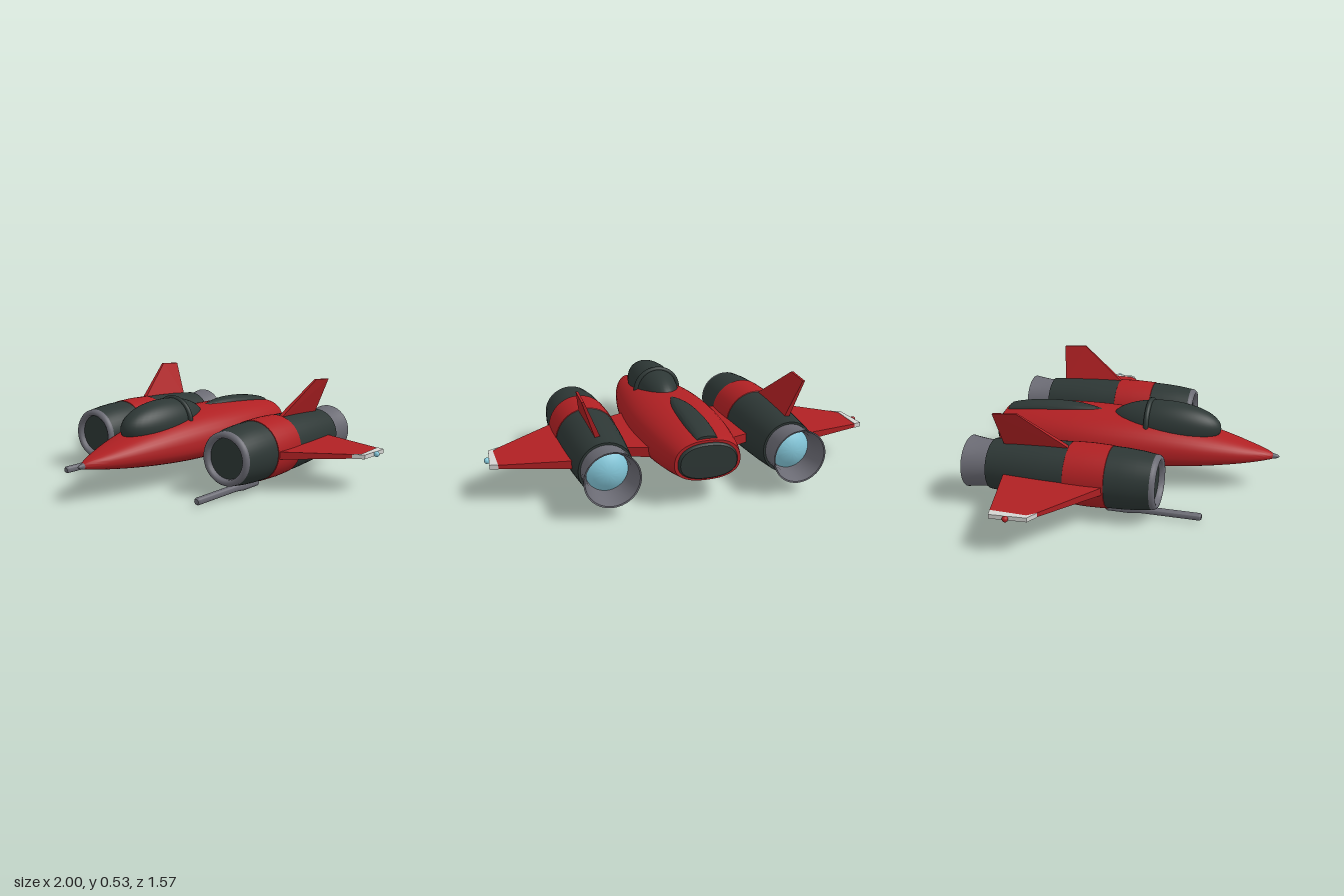
import * as THREE from 'three';
import { toCreasedNormals } from 'three/addons/utils/BufferGeometryUtils.js';
import { ConvexGeometry } from 'three/addons/geometries/ConvexGeometry.js';

const mat = (name, color) => Object.assign(new THREE.MeshStandardMaterial({ color }), { name });

export function createModel() {
  const red = mat('hull red', 0xb02023);
  const dark = mat('dark panel', 0x2d3735);
  const grey = mat('metal grey', 0x6a6a73);
  const white = mat('wing tip white', 0xd5d5d2);
  const cyan = mat('glow blue', 0x88cde0);

  const model = new THREE.Group();
  model.name = 'starfighter';
  const add = (parent, name, geometry, material, x = 0, y = 0, z = 0) => {
    const mesh = new THREE.Mesh(geometry, material);
    mesh.name = name;
    mesh.position.set(x, y, z);
    parent.add(mesh);
    return mesh;
  };

  // Lathe around z; profile is [z, radius], listed from back to front for outward faces
  const spin = (profile, crease = 0.6) => {
    const g = new THREE.LatheGeometry(profile.map(([z, r]) => new THREE.Vector2(r, z)), 40);
    return toCreasedNormals(g.rotateX(Math.PI / 2), crease);
  };

  // Loft of superellipse sections [z, halfWidth, top, middle, bottom], nose to tail, with end caps
  const loft = (keys, steps, power) => {
    const n = 40, pos = [], idx = [];
    const curve = (k) => new THREE.CatmullRomCurve3(keys.map((s) => new THREE.Vector3(s[0], s[k], s[k + 1])));
    const a = curve(1), b = curve(3);
    const bottoms = keys.map((s) => s[4]);
    const bc = new THREE.SplineCurve(bottoms.map((v, i) => new THREE.Vector2(keys[i][0], v)));
    const mc = new THREE.SplineCurve(keys.map((s) => new THREE.Vector2(s[0], s[3])));
    const shape = (v) => Math.sign(v) * Math.pow(Math.abs(v), power);
    for (let i = 0; i <= steps; i++) {
      const t = i / steps, p = a.getPoint(t), mid = mc.getPoint(t).y, low = bc.getPoint(t).y;
      const z = mc.getPoint(t).x;
      for (let j = 0; j < n; j++) {
        const ang = (j / n) * Math.PI * 2, s = shape(Math.sin(ang));
        pos.push(p.y * shape(Math.cos(ang)), mid + s * (s > 0 ? p.z - mid : mid - low), z);
      }
    }
    for (let i = 0; i < steps; i++) for (let j = 0; j < n; j++) {
      const k = (j + 1) % n, q = i * n, r = q + n;
      idx.push(q + j, r + j, q + k, q + k, r + j, r + k);
    }
    for (let j = 1; j < n - 1; j++) {
      const e = steps * n;
      idx.push(0, j, j + 1, e, e + j + 1, e + j);
    }
    const g = new THREE.BufferGeometry();
    g.setAttribute('position', new THREE.Float32BufferAttribute(pos, 3));
    g.setIndex(idx);
    return toCreasedNormals(g, 0.7);
  };

  // Flat panel from plan points [x, z, halfThickness]
  const panel = (points, y) => new ConvexGeometry(points.flatMap(([x, z, h]) =>
    [new THREE.Vector3(x, y + h, z), new THREE.Vector3(x, y - h, z)]));

  // Fuselage
  add(model, 'fuselage', loft([
    [0.745, 0.014, 0.204, 0.19, 0.176],
    [0.6, 0.088, 0.25, 0.195, 0.15],
    [0.4, 0.153, 0.3, 0.2, 0.125],
    [0.2, 0.195, 0.337, 0.2, 0.108],
    [0, 0.222, 0.359, 0.2, 0.1],
    [-0.2, 0.235, 0.367, 0.2, 0.1],
    [-0.4, 0.227, 0.365, 0.203, 0.102],
    [-0.6, 0.202, 0.352, 0.21, 0.112],
    [-0.76, 0.165, 0.33, 0.22, 0.13],
  ], 40, 0.85), red);
  add(model, 'tailPanel', loft([
    [-0.74, 0.148, 0.318, 0.22, 0.14],
    [-0.765, 0.148, 0.318, 0.22, 0.14],
    [-0.776, 0.14, 0.31, 0.22, 0.147],
  ], 4, 0.85), dark);
  add(model, 'noseTip', spin([[0.725, 0], [0.725, 0.019], [0.75, 0.014], [0.77, 0.009], [0.78, 0]]), grey, 0, 0.19);

  // Dark dorsal spine
  add(model, 'dorsalSpine', loft([
    [-0.2, 0.008, 0.365, 0.34, 0.3],
    [-0.3, 0.042, 0.381, 0.34, 0.3],
    [-0.42, 0.058, 0.387, 0.34, 0.3],
    [-0.6, 0.064, 0.375, 0.33, 0.28],
    [-0.745, 0.056, 0.345, 0.31, 0.26],
  ], 20, 0.75), dark);

  // Canopy with its frame hoop
  const canopy = add(model, 'canopy', new THREE.SphereGeometry(1, 40, 28), dark, 0, 0.318, 0.155);
  canopy.scale.set(0.12, 0.127, 0.305);
  add(model, 'canopyFrame', new THREE.TorusGeometry(0.12, 0.014, 12, 40), dark, 0, 0.32, 0.07);

  for (const s of [1, -1]) {
    const side = new THREE.Group();
    side.name = s > 0 ? 'leftSide' : 'rightSide';
    model.add(side);

    // Engine nacelle
    const engine = new THREE.Group();
    engine.name = 'engine';
    engine.position.set(s * 0.465, 0.199, 0);
    side.add(engine);
    add(engine, 'rearCowl', spin([[-0.655, 0], [-0.655, 0.133], [-0.5, 0.147], [-0.35, 0.155], [-0.2, 0.159]]), dark);
    add(engine, 'engineBand', spin([[-0.235, 0.155], [-0.232, 0.161], [-0.13, 0.164], [-0.022, 0.161], [-0.02, 0.155]]), red);
    add(engine, 'frontCowl', spin([[-0.03, 0.158], [0.05, 0.156], [0.13, 0.15], [0.203, 0.14]]), dark);
    add(engine, 'intakeLip', spin([[0.2, 0.14], [0.215, 0.139], [0.228, 0.13], [0.23, 0.12], [0.222, 0.108], [0.19, 0.104]], 0.9), grey);
    add(engine, 'intakeFace', new THREE.CircleGeometry(0.108, 40), dark, 0, 0, 0.2);

    // Flared nozzle and its glow
    add(engine, 'nozzle', spin([[-0.66, 0.102], [-0.72, 0.108], [-0.785, 0.129], [-0.787, 0.136],
      [-0.75, 0.13], [-0.7, 0.124], [-0.65, 0.122]]), grey);
    add(engine, 'engineGlow', spin([[-0.705, 0], [-0.7, 0.035], [-0.688, 0.07], [-0.664, 0.104]], 1), cyan);

    // Under-slung cannon
    add(side, 'cannon', spin([[-0.045, 0], [-0.045, 0.026], [0.07, 0.026], [0.13, 0.019],
      [0.436, 0.019], [0.445, 0.013], [0.445, 0]]), grey, s * 0.465, 0.032);

    // Wings, white tip edge and navigation light
    add(side, 'innerWing', panel([[s * 0.18, 0.04, 0.026], [s * 0.4, -0.06, 0.022],
      [s * 0.4, -0.44, 0.022], [s * 0.18, -0.52, 0.026]], 0.196), red);
    add(side, 'outerWing', panel([[s * 0.56, 0.02, 0.022], [s * 0.915, -0.252, 0.011],
      [s * 0.948, -0.29, 0.01], [s * 0.942, -0.475, 0.01], [s * 0.56, -0.56, 0.022]], 0.196), red);
    add(side, 'wingTipEdge', panel([[s * 0.942, -0.475, 0.012], [s * 0.982, -0.465, 0.011],
      [s * 0.97, -0.28, 0.011], [s * 0.948, -0.29, 0.012]], 0.196), white);
    add(side, 'wingTipCorner', panel([[s * 0.948, -0.29, 0.012], [s * 0.97, -0.28, 0.011],
      [s * 0.915, -0.25, 0.012]], 0.196), white);
    add(side, 'navigationLight', new THREE.SphereGeometry(0.015, 16, 12), s > 0 ? cyan : red, s * 0.985, 0.196, -0.38);

    // Canted tail fin: [x, y, z, halfThickness]
    add(side, 'tailFin', new ConvexGeometry([
      [0.48, 0.32, -0.19, 0.014], [0.556, 0.533, -0.475, 0.006],
      [0.556, 0.522, -0.607, 0.006], [0.48, 0.32, -0.58, 0.014],
    ].flatMap(([x, y, z, h]) => [new THREE.Vector3(s * (x + h), y, z), new THREE.Vector3(s * (x - h), y, z)])), red);
  }
  return model;
}
